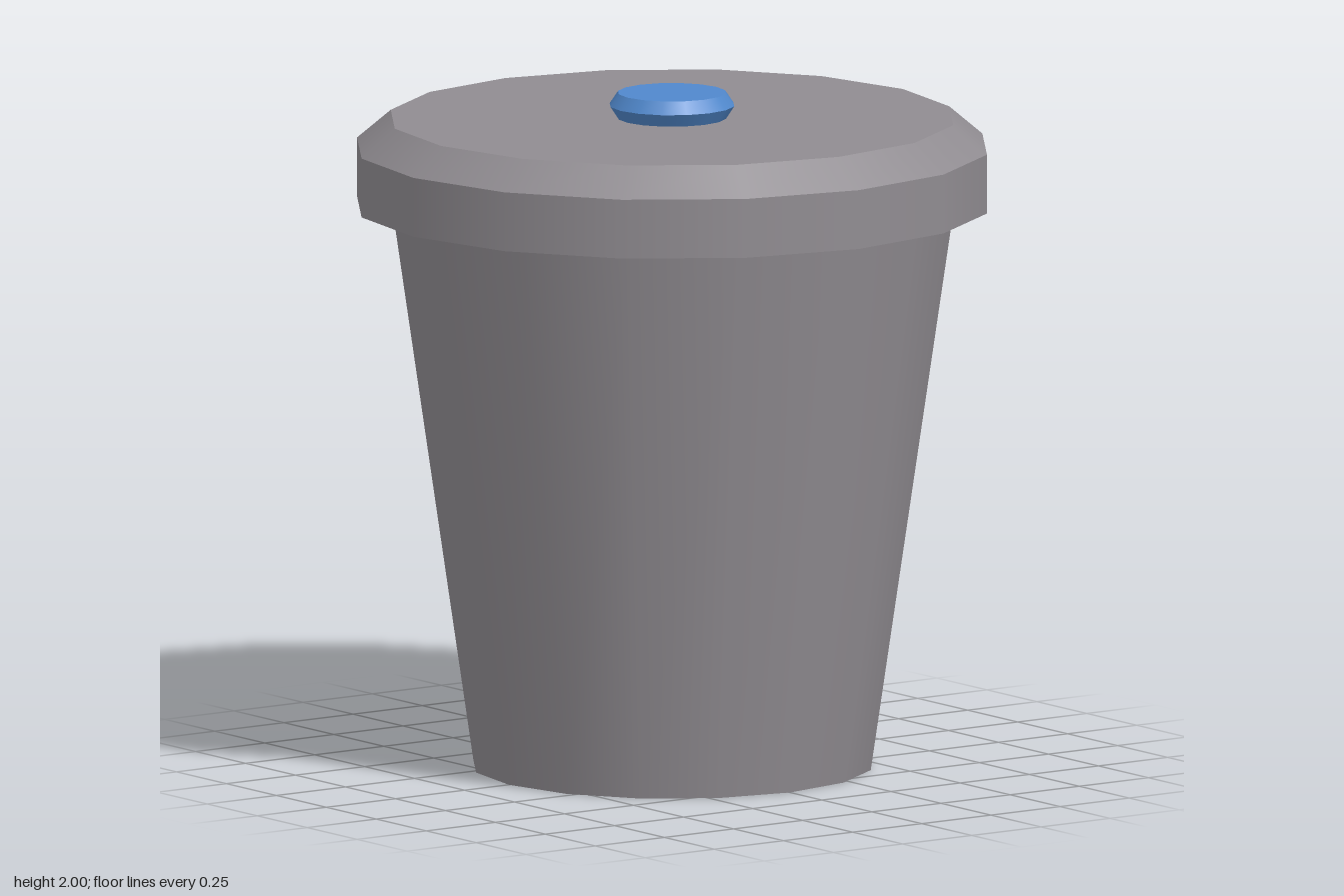
import * as THREE from 'three';

const SIDES = 16;

// Tapered ring or solid, smooth around and sharp at its rims, with a corner on each axis
function band(name, material, rBottom, rTop, y0, y1, open) {
  const geometry = new THREE.CylinderGeometry(rTop, rBottom, y1 - y0, SIDES, 1, open);
  geometry.translate(0, (y0 + y1) / 2, 0);
  const mesh = new THREE.Mesh(geometry, material);
  mesh.name = name;
  return mesh;
}

// Flat disc or ring facing up (1) or down (-1)
function disc(name, material, inner, outer, y, facing) {
  const geometry = inner > 0
    ? new THREE.RingGeometry(inner, outer, SIDES)
    : new THREE.CircleGeometry(outer, SIDES);
  geometry.rotateX(-facing * Math.PI / 2);
  geometry.translate(0, y, 0);
  const mesh = new THREE.Mesh(geometry, material);
  mesh.name = name;
  return mesh;
}

export function createModel() {
  const grey = new THREE.MeshStandardMaterial({ color: 0x908c91 });
  grey.name = 'grey';
  const blue = new THREE.MeshStandardMaterial({ color: 0x5088cc });
  blue.name = 'blue';

  const model = new THREE.Group();
  model.name = 'liddedBin';

  // Tapered body with a closed base
  const body = new THREE.Group();
  body.name = 'body';
  body.add(
    band('bodyWall', grey, 0.59, 0.835, 0, 1.665, true),
    disc('base', grey, 0, 0.59, 0, -1),
  );

  // Overhanging lid with a bevelled edge
  const lid = new THREE.Group();
  lid.name = 'lid';
  lid.add(
    disc('lidUnderside', grey, 0.835, 0.935, 1.665, -1),
    band('lidRim', grey, 0.935, 0.935, 1.665, 1.84, true),
    band('lidBevel', grey, 0.935, 0.835, 1.84, 1.925, true),
    disc('lidTop', grey, 0, 0.835, 1.925, 1),
  );

  // Round knob, widest at its middle
  const knob = new THREE.Group();
  knob.name = 'knob';
  knob.add(
    band('knobLower', blue, 0.16, 0.185, 1.925, 1.963, true),
    band('knobUpper', blue, 0.185, 0.16, 1.963, 2, true),
    disc('knobTop', blue, 0, 0.16, 2, 1),
  );

  model.add(body, lid, knob);
  return model;
}
